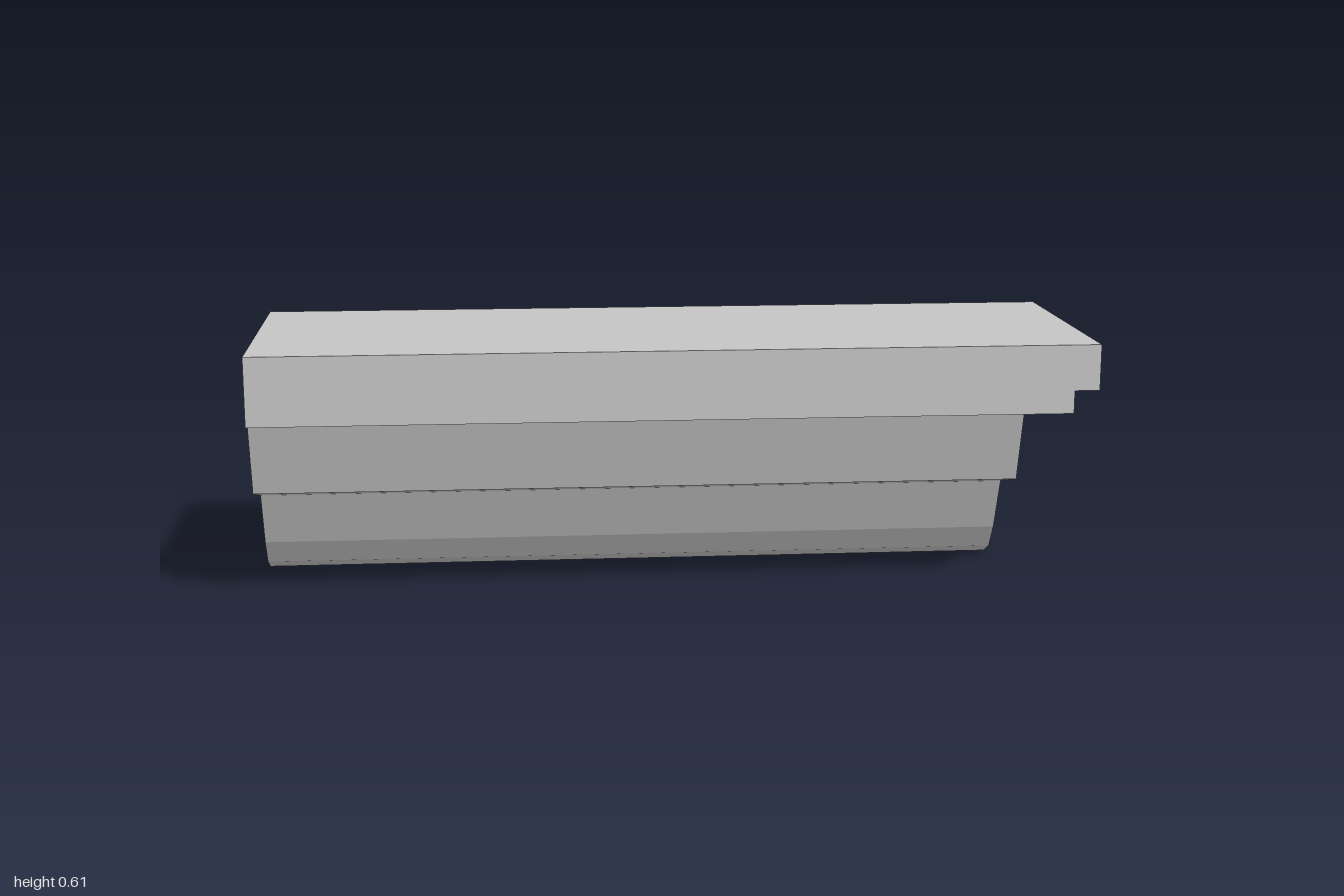
import * as THREE from 'three';

// Key sizes
const TOP = 0.61, UNDER = 0.445, STEP = 0.5;
const BACK = -0.325, FRONT = 0.325, WALL = 0.288;
const OPEN_END = -1, BODY_END = 0.83, STEP_END = 0.94, CROWN_END = 1;

// Moulded cross-section as [z, y], from the back foot forward and up
const PROFILE = [
  [BACK, 0], [-0.075, 0], [-0.023, 0.027], [0.02, 0.089], [0.079, 0.224],
  [0.232, 0.265], [WALL, UNDER], [WALL, TOP], [BACK, TOP],
];

// Hollow tube of flat faces running along x through the closed cross-section
function shellGeometry(points, x0, x1) {
  const pos = [];
  points.forEach(([z0, y0], i) => {
    const [z1, y1] = points[(i + 1) % points.length];
    pos.push(x0, y0, z0, x1, y0, z0, x1, y1, z1);
    pos.push(x0, y0, z0, x1, y1, z1, x0, y1, z1);
  });
  const geo = new THREE.BufferGeometry();
  geo.setAttribute('position', new THREE.Float32BufferAttribute(pos, 3));
  geo.computeVertexNormals();
  return geo;
}

// Band with a stepped right end, from x0 to the crown end, between two depths
function steppedBand(x0, z0, z1) {
  const shape = new THREE.Shape([
    [x0, UNDER], [STEP_END, UNDER], [STEP_END, STEP],
    [CROWN_END, STEP], [CROWN_END, TOP], [x0, TOP],
  ].map(([x, y]) => new THREE.Vector2(x, y)));
  const geo = new THREE.ExtrudeGeometry(shape, { depth: z1 - z0, bevelEnabled: false });
  return geo.translate(0, 0, z0);
}

export function createModel() {
  const stone = new THREE.MeshStandardMaterial({ color: 0xc4c4c4, side: THREE.DoubleSide });
  stone.name = 'paleGrey';

  const model = new THREE.Group();
  model.name = 'corniceSection';
  const add = (name, geometry) => {
    const mesh = new THREE.Mesh(geometry, stone);
    mesh.name = name;
    model.add(mesh);
  };

  // Hollow moulding, open at its right-hand end
  add('mouldingShell', shellGeometry(PROFILE, OPEN_END, BODY_END));

  // Flat cap closing the other end
  const capShape = new THREE.Shape(PROFILE.map(([z, y]) => new THREE.Vector2(-z, y)));
  add('endCap', new THREE.ShapeGeometry(capShape).rotateY(Math.PI / 2).translate(BODY_END, 0, 0));

  // Crown band along the front and its stepped return at the closed end
  add('frontFascia', steppedBand(OPEN_END, WALL, FRONT));
  add('crownReturn', steppedBand(BODY_END, BACK, WALL));

  return model;
}
